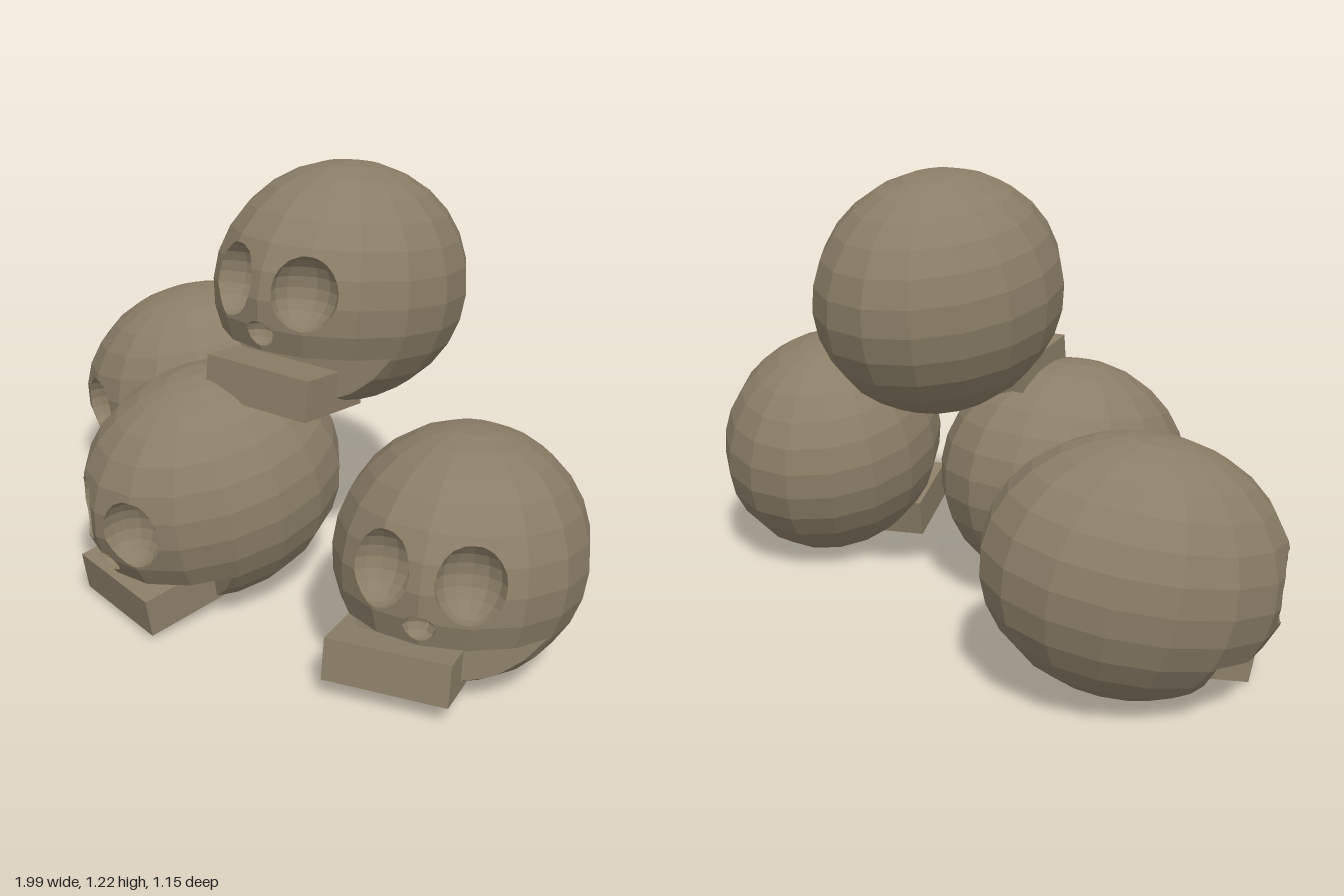
import * as THREE from 'three';

const EPS = 1e-6;

// Convex solid as a list of triangles plus their outward planes
function solid(geometry) {
  const g = geometry.index ? geometry.toNonIndexed() : geometry;
  const p = g.attributes.position;
  const polys = [];
  for (let i = 0; i < p.count; i += 3) {
    polys.push([0, 1, 2].map((k) => new THREE.Vector3().fromBufferAttribute(p, i + k)));
  }
  const planes = polys.map((t) => new THREE.Plane().setFromCoplanarPoints(...t));
  return { polys, planes };
}

// Split a convex polygon into the parts outside and inside a plane
function split(poly, plane) {
  const outside = [], inside = [];
  poly.forEach((a, i) => {
    const b = poly[(i + 1) % poly.length];
    const da = plane.distanceToPoint(a), db = plane.distanceToPoint(b);
    if (da >= -EPS) outside.push(a);
    if (da <= EPS) inside.push(a);
    if ((da > EPS && db < -EPS) || (da < -EPS && db > EPS)) {
      const m = a.clone().lerp(b, da / (da - db));
      outside.push(m);
      inside.push(m);
    }
  });
  const hasOut = poly.some((v) => plane.distanceToPoint(v) > EPS);
  const hasIn = poly.some((v) => plane.distanceToPoint(v) < -EPS);
  return [hasOut ? outside : null, hasIn || !hasOut ? inside : null];
}

function clipInside(polys, planes) {
  return polys.map((poly) => {
    for (const plane of planes) {
      if (!poly) break;
      poly = split(poly, plane)[1];
    }
    return poly;
  }).filter(Boolean);
}

function subtract(polys, planes) {
  const kept = [];
  for (let poly of polys) {
    const pieces = [];
    for (const plane of planes) {
      const [out, inn] = split(poly, plane);
      if (out) pieces.push(out);
      poly = inn;
      if (!poly) break;
    }
    kept.push(...(poly ? pieces : pieces.length ? pieces : []));
  }
  return kept;
}

// Carve convex cutters out of a convex body, lining each hollow with its walls
function carve(bodyGeometry, cutterGeometries) {
  const body = solid(bodyGeometry);
  const cutters = cutterGeometries.map(solid);
  let polys = body.polys;
  for (const c of cutters) polys = subtract(polys, c.planes);
  for (const c of cutters) {
    let walls = clipInside(c.polys, body.planes);
    for (const other of cutters) if (other !== c) walls = subtract(walls, other.planes);
    polys = polys.concat(walls.map((w) => [...w].reverse()));
  }
  const pos = [];
  for (const poly of polys) {
    for (let i = 1; i < poly.length - 1; i++) {
      for (const v of [poly[0], poly[i], poly[i + 1]]) pos.push(v.x, v.y, v.z);
    }
  }
  const g = new THREE.BufferGeometry();
  g.setAttribute('position', new THREE.Float32BufferAttribute(pos, 3));
  g.computeVertexNormals();
  return g;
}

function ellipsoid(rx, ry, rz, x, y, z, w, h) {
  return new THREE.SphereGeometry(1, w, h).scale(rx, ry, rz).translate(x, y, z);
}

export function createModel() {
  const model = new THREE.Group();
  model.name = 'skullPile';
  const bone = new THREE.MeshStandardMaterial({ color: 0x8b7e67, flatShading: true });
  bone.name = 'agedBone';

  // Cranium with two eye sockets, a nose hole and a cut-away mouth
  const craniumGeometry = carve(ellipsoid(0.325, 0.327, 0.39, 0, 0, 0, 16, 14), [
    ellipsoid(0.088, 0.096, 0.09, 0.1125, 0.03, 0.35, 14, 10),
    ellipsoid(0.088, 0.096, 0.09, -0.1125, 0.03, 0.35, 14, 10),
    ellipsoid(0.043, 0.035, 0.05, 0, -0.09, 0.37, 10, 6),
    new THREE.BoxGeometry(0.7, 0.3, 0.4).translate(0, -0.287, 0.35),
  ]);
  const jawGeometry = new THREE.BoxGeometry(0.33, 0.112, 0.265);

  // position, pitch (positive looks up) and yaw in degrees
  const skulls = [
    ['topSkull', 0.1, 0.893, -0.15, 7.5, 16],
    ['frontSkull', -0.062, 0.336, 0.18, -9.4, 0],
    ['leftSkull', 0.66, 0.334, -0.09, 10.5, 30],
    ['rightSkull', -0.655, 0.336, -0.215, -11, -34],
  ];
  for (const [name, x, y, z, pitch, yaw] of skulls) {
    const skull = new THREE.Group();
    skull.name = name;
    skull.position.set(x, y, z);
    const cranium = new THREE.Mesh(craniumGeometry, bone);
    cranium.name = 'cranium';
    const jaw = new THREE.Mesh(jawGeometry, bone);
    jaw.name = 'jaw';
    jaw.position.set(0, -0.24, 0.2);
    for (const part of [cranium, jaw]) {
      part.rotation.set(
        THREE.MathUtils.degToRad(-pitch), THREE.MathUtils.degToRad(yaw), 0, 'YXZ');
      skull.add(part);
    }
    model.add(skull);
  }
  return model;
}
